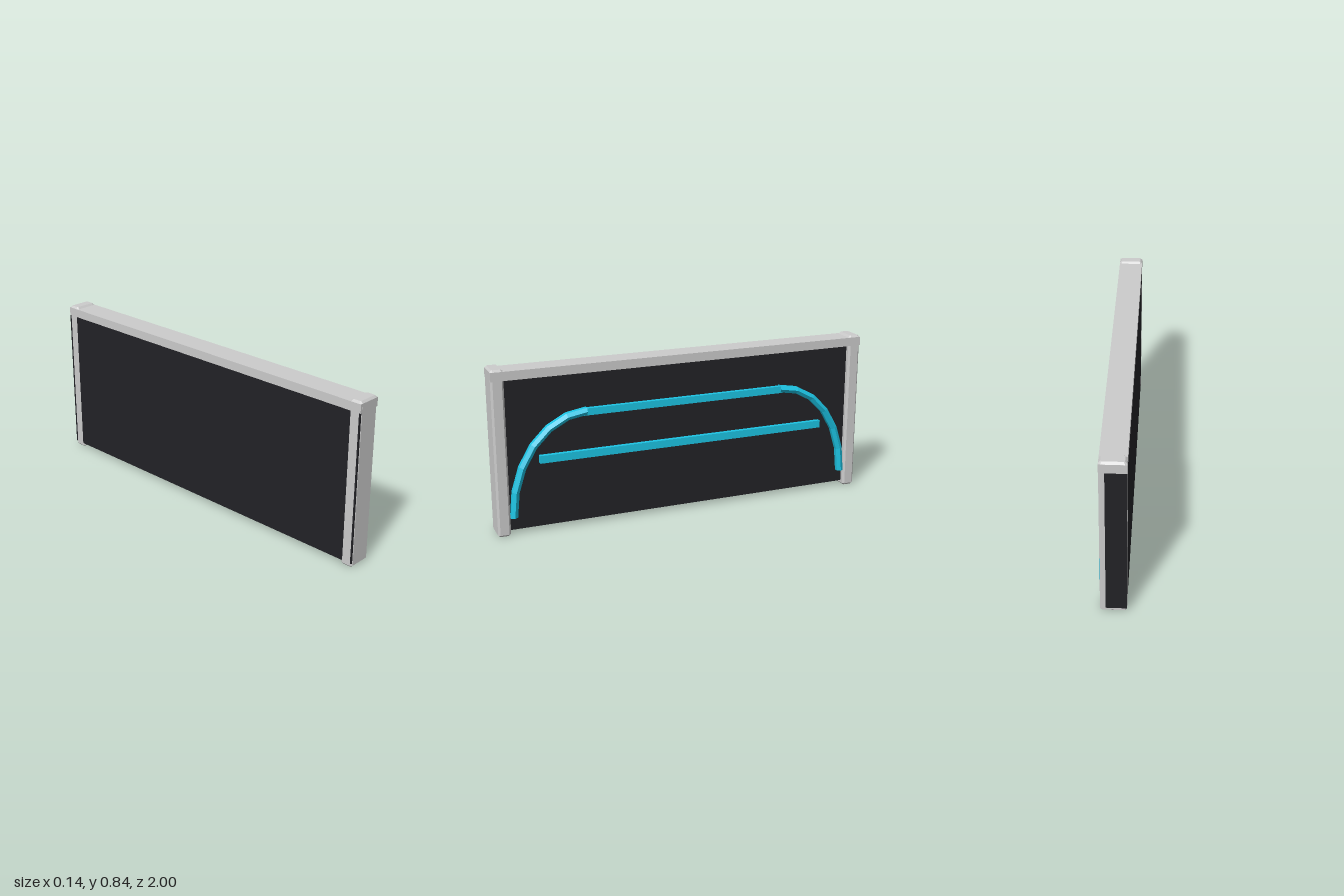
import * as THREE from 'three';

const grey = new THREE.MeshStandardMaterial({ color: 0xcccccc, flatShading: true });
const dark = new THREE.MeshStandardMaterial({ color: 0x222226, flatShading: true });
const cyan = new THREE.MeshStandardMaterial({ color: 0x1cc4e4, flatShading: true });

// Box given by its lower and upper corners
function box(name, material, [x0, y0, z0], [x1, y1, z1]) {
  const mesh = new THREE.Mesh(new THREE.BoxGeometry(x1 - x0, y1 - y0, z1 - z0), material);
  mesh.position.set((x0 + x1) / 2, (y0 + y1) / 2, (z0 + z1) / 2);
  mesh.name = name;
  return mesh;
}

// Upright post with every edge chamfered, standing on y = 0
function postGeometry(width, height, depth, bevel) {
  const a = width / 2 - bevel, b = depth / 2 - bevel, c = bevel * 0.41;
  const shape = new THREE.Shape([
    [a, -b + c], [a, b - c], [a - c, b], [-a + c, b],
    [-a, b - c], [-a, -b + c], [-a + c, -b], [a - c, -b],
  ].map(([x, y]) => new THREE.Vector2(x, y)));
  return new THREE.ExtrudeGeometry(shape, {
    depth: height - 2 * bevel, bevelSize: bevel, bevelThickness: bevel, bevelSegments: 1,
  }).rotateX(-Math.PI / 2).translate(0, bevel, 0);
}

// Ridged strip swept along a quarter ellipse in the z-y plane
function archGeometry(startAngle, centreZ) {
  const section = [[0.018, 0.02], [0.018, 0.053], [0, 0.066], [-0.018, 0.053], [-0.018, 0.02]];
  const rz = 0.385, ry = 0.505, baseY = 0.09, steps = 6, n = section.length;
  const positions = [], index = [];
  for (let i = 0; i <= steps; i++) {
    const t = startAngle + (i / steps) * Math.PI / 2;
    const normal = new THREE.Vector2(Math.cos(t) * ry, Math.sin(t) * rz).normalize();
    for (const [offset, x] of section) {
      // the strip gets slightly shallower towards its foot
      const px = x - 0.004 * (1 - Math.sin(t));
      positions.push(px, baseY + ry * Math.sin(t) + normal.y * offset,
        centreZ + rz * Math.cos(t) + normal.x * offset);
    }
  }
  for (let i = 0; i < steps; i++) {
    for (let j = 0; j < n; j++) {
      const a = i * n + j, b = i * n + (j + 1) % n;
      index.push(a, b, b + n, a, b + n, a + n);
    }
  }
  // end caps
  for (let j = 1; j < n - 1; j++) {
    index.push(0, j + 1, j, steps * n, steps * n + j, steps * n + j + 1);
  }
  const geometry = new THREE.BufferGeometry();
  geometry.setAttribute('position', new THREE.Float32BufferAttribute(positions, 3));
  geometry.setIndex(index);
  const flat = geometry.toNonIndexed();
  flat.computeVertexNormals();
  return flat;
}

export function createModel() {
  const group = new THREE.Group();
  group.name = 'panel';

  // Dark infill, flush with the back and the rear end of the frame
  group.add(box('infillPanel', dark, [-0.0695, 0.022, -1], [0.028, 0.79, 0.998]));

  // Frame: top rail and an end post at each side
  group.add(box('topRail', grey, [-0.07, 0.79, -0.9995], [0.055, 0.835, 0.9995]));
  for (const [name, z] of [['frontPost', 0.9675], ['rearPost', -0.9665]]) {
    const post = new THREE.Mesh(postGeometry(0.125, 0.845, 0.065, 0.01), grey);
    post.position.set(-0.0075, 0, z);
    post.name = name;
    group.add(post);
  }

  // Decorative strips: two straight bars and the two curved ends
  group.add(box('upperBar', cyan, [0.02, 0.573, -0.545], [0.052, 0.609, 0.545]));
  group.add(box('lowerBar', cyan, [0.02, 0.355, -0.775], [0.052, 0.394, 0.775]));
  for (const [name, angle, z] of [['frontArch', 0, 0.53], ['rearArch', Math.PI / 2, -0.53]]) {
    const arch = new THREE.Mesh(archGeometry(angle, z), cyan);
    arch.name = name;
    group.add(arch);
  }
  return group;
}
